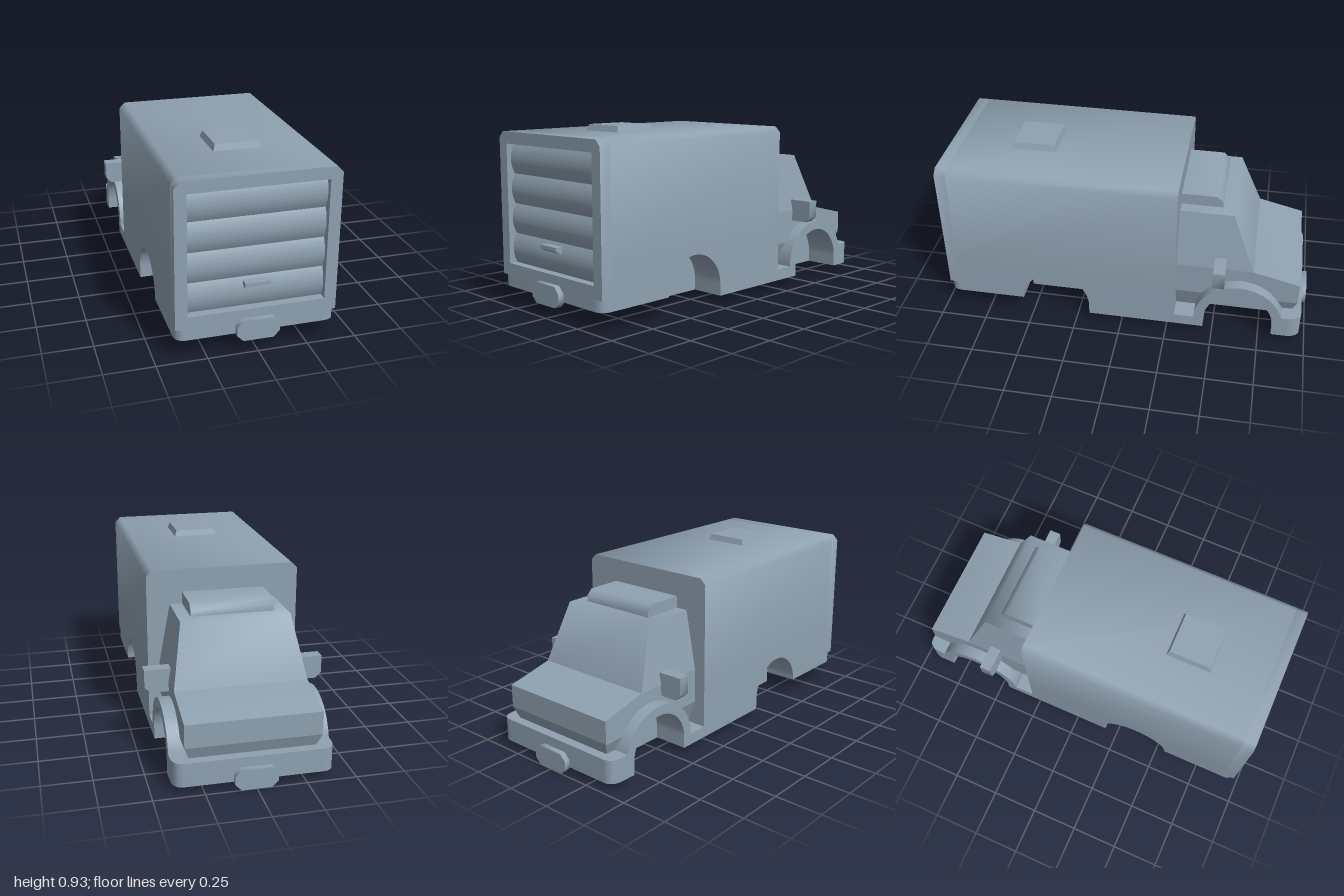
import * as THREE from 'three';
import { toCreasedNormals } from 'three/addons/utils/BufferGeometryUtils.js';

export function createModel() {
  const group = new THREE.Group();
  const material = new THREE.MeshStandardMaterial({ color: 0x8fa1b1 });

  // Edges flatter than the crease angle are shaded smoothly
  const add = (name, geometry, crease = 0.9) => {
    const mesh = new THREE.Mesh(toCreasedNormals(geometry, crease), material);
    mesh.name = name;
    group.add(mesh);
  };
  const polygon = (points) => new THREE.Shape(points.map(([a, b]) => new THREE.Vector2(a, b)));
  const extrude = (shape, depth) =>
    new THREE.ExtrudeGeometry(shape, { depth, bevelEnabled: false, curveSegments: 24 });
  // Shape drawn in (z, y), swept across x
  const acrossX = (shape, x0, x1) => extrude(shape, x1 - x0).rotateY(-Math.PI / 2).translate(x1, 0, 0);
  // Shape drawn in (x, z), swept through y
  const acrossY = (shape, y0, y1) => extrude(shape, y1 - y0).rotateX(Math.PI / 2).translate(0, y1, 0);
  const box = (x0, x1, y0, y1, z0, z1) =>
    new THREE.BoxGeometry(x1 - x0, y1 - y0, z1 - z0)
      .translate((x0 + x1) / 2, (y0 + y1) / 2, (z0 + z1) / 2);
  // Tapered block: each end is [half width, lowest z, highest z]
  const taper = (y0, y1, bottom, top) => {
    const g = new THREE.BoxGeometry(2, 2, 2);
    const p = g.attributes.position;
    for (let i = 0; i < p.count; i++) {
      const up = p.getY(i) > 0;
      const [w, z0, z1] = up ? top : bottom;
      p.setXYZ(i, p.getX(i) * w, up ? y1 : y0, p.getZ(i) > 0 ? z1 : z0);
    }
    return g;
  };

  // Cargo box with softly shaded roof edges
  const section = (y0) => polygon([
    [-0.4, y0], [0.4, y0], [0.4, 0.862], [0.37, 0.893], [-0.37, 0.893], [-0.4, 0.862],
  ]);
  add('cargoBox', extrude(section(0.3), 1.2).translate(0, 0, -0.29));

  // Rear frame around the shutter opening
  const frame = section(0.155);
  frame.holes.push(new THREE.Path(
    [[-0.34, 0.217], [-0.34, 0.832], [0.34, 0.832], [0.34, 0.217]].map(([x, y]) => new THREE.Vector2(x, y))));
  add('rearFrame', extrude(frame, 0.06).translate(0, 0, 0.91));

  // Rolling shutter of four bulging slats
  for (let i = 0; i < 4; i++) {
    const y0 = 0.216 + i * 0.154, y1 = y0 + 0.154;
    const slat = new THREE.Shape();
    slat.moveTo(0.905, y0);
    slat.lineTo(0.925, y0);
    slat.quadraticCurveTo(0.967, (y0 + y1) / 2, 0.925, y1);
    slat.lineTo(0.905, y1);
    add('shutterSlat', acrossX(slat, -0.34, 0.34));
  }
  add('shutterHandle', acrossX(
    polygon([[0.92, 0.32], [0.945, 0.32], [0.975, 0.336], [0.975, 0.355], [0.92, 0.355]]), -0.062, 0.062), 0.5);

  // Roof hatch
  add('roofHatch', taper(0.89, 0.925, [0.122, 0.39, 0.632], [0.11, 0.402, 0.62]));

  // Chassis core between the wheel wells
  add('chassis', box(-0.215, 0.215, 0.034, 0.3, -0.83, 0.55));
  add('rearFloor', box(-0.215, 0.215, 0.095, 0.3, 0.55, 0.91));

  // Side skirts with rear wheel arches
  const skirt = new THREE.Shape();
  skirt.moveTo(0.91, 0.3);
  skirt.lineTo(0.91, 0.095);
  skirt.lineTo(0.55, 0.095);
  skirt.absarc(0.365, 0.095, 0.185, 0, Math.PI, false);
  skirt.lineTo(0.18, 0.034);
  skirt.lineTo(-0.29, 0.034);
  skirt.lineTo(-0.29, 0.3);

  // Front fender ring
  const fender = new THREE.Shape();
  fender.moveTo(-0.4, 0.034);
  fender.lineTo(-0.4, 0.095);
  fender.absarc(-0.635, 0.095, 0.237, 0, Math.PI, false);
  fender.lineTo(-0.872, 0.034);
  fender.lineTo(-0.82, 0.034);
  fender.absarc(-0.635, 0.095, 0.185, Math.PI, 0, true);
  fender.lineTo(-0.45, 0.034);

  for (const side of [-1, 1]) {
    const span = side > 0 ? [0.215, 0.4] : [-0.4, -0.215];
    add('sideSkirt', acrossX(skirt, ...span));
    add('frontFender', acrossX(fender, ...span));
    add('runningBoard', box(...span, 0.034, 0.095, -0.4, -0.29));

    // Side mirror with a clipped lower corner
    const corners = [[0.3, 0.342], [0.43, 0.342], [0.46, 0.372], [0.46, 0.463], [0.3, 0.463]];
    add('sideMirror', extrude(polygon(corners.map(([x, y]) => [x * side, y])), 0.062)
      .translate(0, 0, -0.553));
  }

  // Cab lower body and bonnet, cut away over the front wheels
  const cab = new THREE.Shape();
  cab.moveTo(-0.29, 0.4);
  cab.lineTo(-0.29, 0.22);
  cab.absarc(-0.635, 0.095, 0.21, 0.637, Math.PI - 0.637, false);
  cab.lineTo(-0.943, 0.22);
  cab.lineTo(-0.943, 0.34);
  cab.lineTo(-0.695, 0.4);
  add('cabBody', acrossX(cab, -0.338, 0.338));

  // Lower cab edges leaning inward behind and ahead of the wheels
  add('cabSill', taper(0.09, 0.22, [0.29, -0.44, -0.29], [0.338, -0.44, -0.29]));
  add('cabNose', taper(0.15, 0.22, [0.312, -0.918, -0.82], [0.338, -0.943, -0.82]));

  // Tapered cabin, windscreen blending into the roof, and roof deflector
  add('cabin', taper(0.4, 0.71, [0.338, -0.695, -0.29], [0.28, -0.572, -0.29]), 1.25);
  add('roofDeflector', acrossX(polygon([
    [-0.29, 0.7], [-0.29, 0.772], [-0.475, 0.772], [-0.508, 0.74], [-0.508, 0.7],
  ]), -0.215, 0.215));

  // Bumpers with rounded outer corners
  const bumper = (inner, bend, outer) => {
    const s = new THREE.Shape();
    s.moveTo(-0.4, inner);
    s.lineTo(-0.4, bend);
    s.quadraticCurveTo(-0.4, outer, -0.34, outer);
    s.lineTo(0.34, outer);
    s.quadraticCurveTo(0.4, outer, 0.4, bend);
    s.lineTo(0.4, inner);
    return s;
  };
  add('frontBumper', acrossY(bumper(-0.82, -0.89, -0.97), 0.034, 0.157));
  add('rearBumper', acrossY(bumper(0.9, 0.912, 0.97), 0.095, 0.157));

  // Octagonal plates on both bumpers
  const plate = (y0) => polygon([
    [-0.075, y0], [0.075, y0], [0.107, y0 + 0.032], [0.107, y0 + 0.074],
    [0.075, y0 + 0.106], [-0.075, y0 + 0.106], [-0.107, y0 + 0.074], [-0.107, y0 + 0.032],
  ]);
  add('rearPlate', extrude(plate(0.065), 0.04).translate(0, 0, 0.96));
  add('frontPlate', extrude(plate(0), 0.03).translate(0, 0, -1));

  return group;
}
